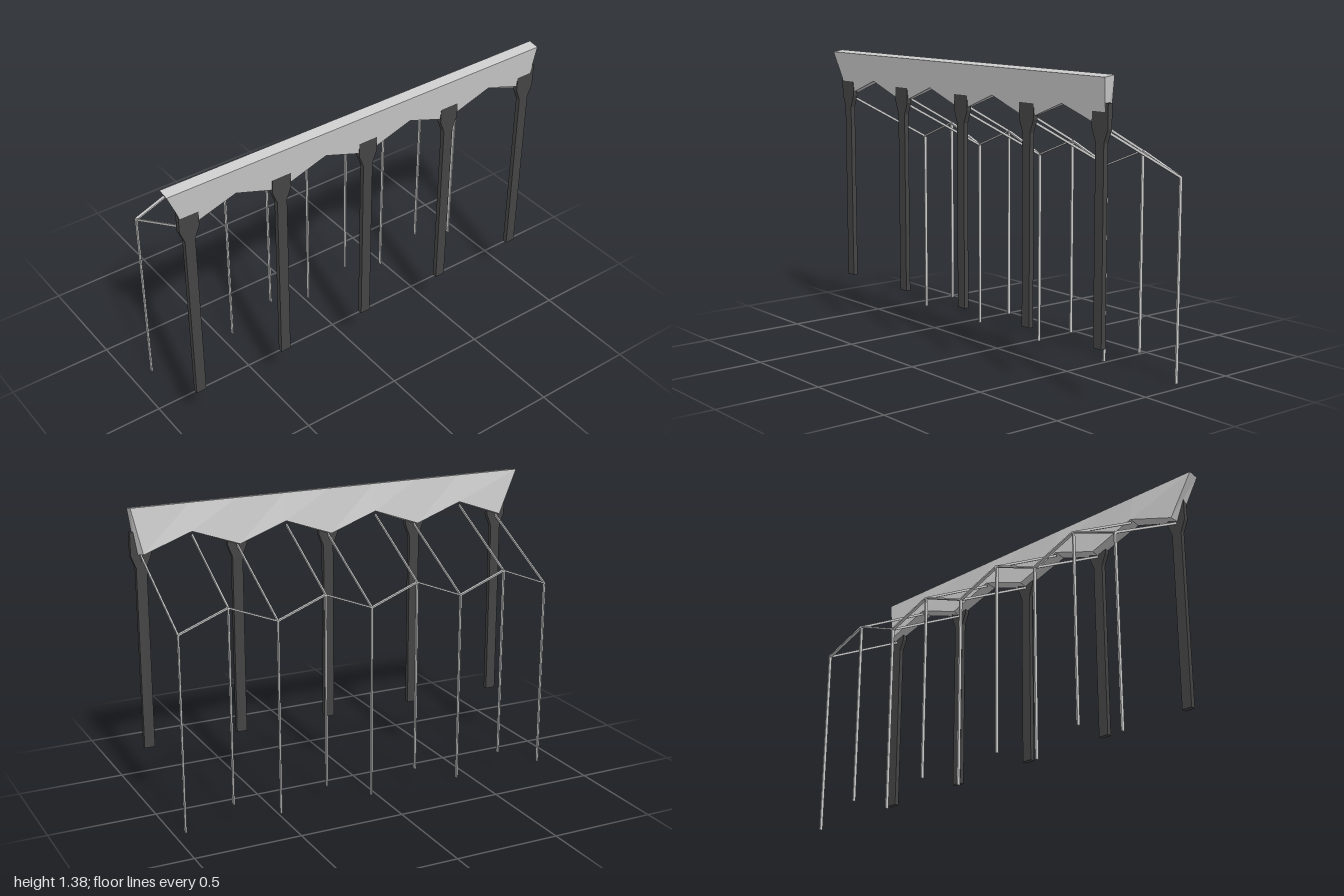
import * as THREE from 'three';

const grey = new THREE.MeshStandardMaterial({ color: 0xcccccc, flatShading: true });
const dark = new THREE.MeshStandardMaterial({ color: 0x444444, flatShading: true });

const FIRST = -0.897, HALF_BAY = 0.2303, REAR = -0.242;
const stations = Array.from({ length: 9 }, (_, i) => ({ x: FIRST + i * HALF_BAY, peak: i % 2 === 1 }));

function add(parent, name, geometry, material) {
  const mesh = new THREE.Mesh(geometry, material);
  mesh.name = name;
  parent.add(mesh);
  return mesh;
}

// Flat bar between two points: w is its width, h its height in the look-at frame
function bar(parent, name, from, to, w, h) {
  const a = new THREE.Vector3(...from), b = new THREE.Vector3(...to);
  const mesh = add(parent, name, new THREE.BoxGeometry(w, h, a.distanceTo(b)), grey);
  mesh.position.copy(a).add(b).multiplyScalar(0.5);
  mesh.lookAt(b);
}

// Leaning fascia with a zigzag underside, lofted from four-point sections
function fasciaGeometry() {
  const last = stations.length - 1;
  const rings = stations.map(({ x, peak }, i) => {
    const topX = i === 0 ? -1 : i === last ? 0.99 : x;
    const frontX = i === 0 ? -0.907 : i === last ? 0.966 : x;
    return [
      [topX, 1.37, 0.25],
      [topX, 1.378, 0.197],
      [x, peak ? 1.25 : 1.167, 0.175],
      [frontX, peak ? 1.243 : 1.157, peak ? 0.236 : 0.226],
    ];
  });
  const pos = [];
  const quad = (a, b, c, d) => pos.push(...a, ...b, ...c, ...a, ...c, ...d);
  for (let i = 0; i < last; i++) {
    for (let j = 0; j < 4; j++) {
      const k = (j + 1) % 4;
      quad(rings[i][j], rings[i + 1][j], rings[i + 1][k], rings[i][k]);
    }
  }
  quad(...rings[0]);
  quad(...[...rings[last]].reverse());
  const geometry = new THREE.BufferGeometry();
  geometry.setAttribute('position', new THREE.Float32BufferAttribute(pos, 3));
  geometry.computeVertexNormals();
  return geometry;
}

// Flat column with a flared head
function columnGeometry() {
  const right = [[0.025, 0.24], [0.025, 1.1], [0.048, 1.158], [0.048, 1.265]];
  const left = right.map(([x, y]) => [-x, y]).reverse();
  const shape = new THREE.Shape([...right, ...left].map((p) => new THREE.Vector2(...p)));
  return new THREE.ExtrudeGeometry(shape, { depth: 0.023, bevelEnabled: false });
}

export function createModel() {
  const model = new THREE.Group();
  model.name = 'canopyFrame';

  add(model, 'fascia', fasciaGeometry(), grey);

  const columns = new THREE.Group(), frame = new THREE.Group();
  columns.name = 'frontColumns';
  frame.name = 'rearFrame';
  model.add(columns, frame);

  const column = columnGeometry();
  const rearTop = (s) => (s.peak ? 1.008 : 0.918);

  stations.forEach((s, i) => {
    const top = rearTop(s);
    if (!s.peak) add(columns, 'frontColumn', column, dark).position.set(s.x, 0, 0.211);

    // Rear post
    const foot = s.peak ? 0.09 : 0;
    add(frame, 'rearPost', new THREE.BoxGeometry(0.007, top - foot, 0.015), grey)
      .position.set(s.x, (top + foot) / 2, REAR);

    // Rafter sloping from the fascia down to the post
    const start = s.peak ? [s.x, 1.233, 0.178] : [s.x, 1.155, 0.215];
    bar(frame, 'rafter', start, [s.x, top - 0.004, REAR], 0.007, 0.011);

    // Zigzag rail along the post heads
    if (i > 0) {
      const prev = stations[i - 1];
      bar(frame, 'rearRail', [prev.x, rearTop(prev) - 0.003, REAR], [s.x, top - 0.003, REAR], 0.015, 0.007);
    }
  });

  return model;
}
